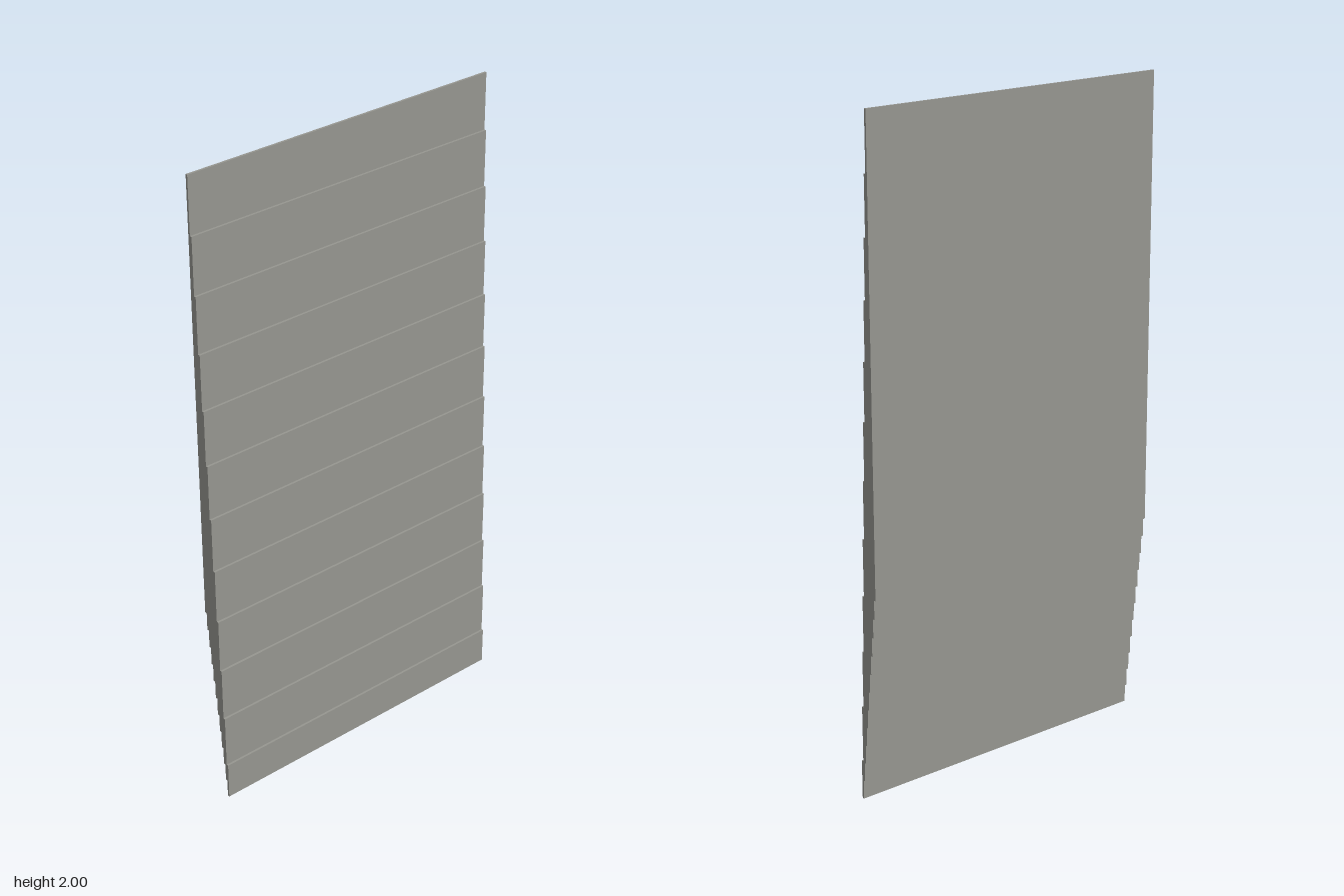
import * as THREE from 'three';

const COUNT = 12;        // slabs, from back to front
const WIDTH = 1.024;
const DEPTH = 0.081;     // whole stack
const TOP_STEP = 0.171;  // drop of each top edge
const BASE = 0.635;      // bottom edge of the rearmost slab

export function createModel() {
  const model = new THREE.Group();
  model.name = 'steppedPanel';
  const material = new THREE.MeshStandardMaterial({ color: 0x969690 });
  const thickness = DEPTH / COUNT;

  // Thin upright slabs, each lower and shorter than the one behind it
  for (let i = 0; i < COUNT; i++) {
    const top = 2 - TOP_STEP * i;
    const bottom = BASE * (1 - i / (COUNT - 1));
    const slab = new THREE.Mesh(new THREE.BoxGeometry(WIDTH, top - bottom, thickness), material);
    slab.position.set(0, (top + bottom) / 2, -DEPTH / 2 + thickness * (i + 0.5));
    slab.name = `slab${i + 1}`;
    model.add(slab);
  }
  return model;
}
